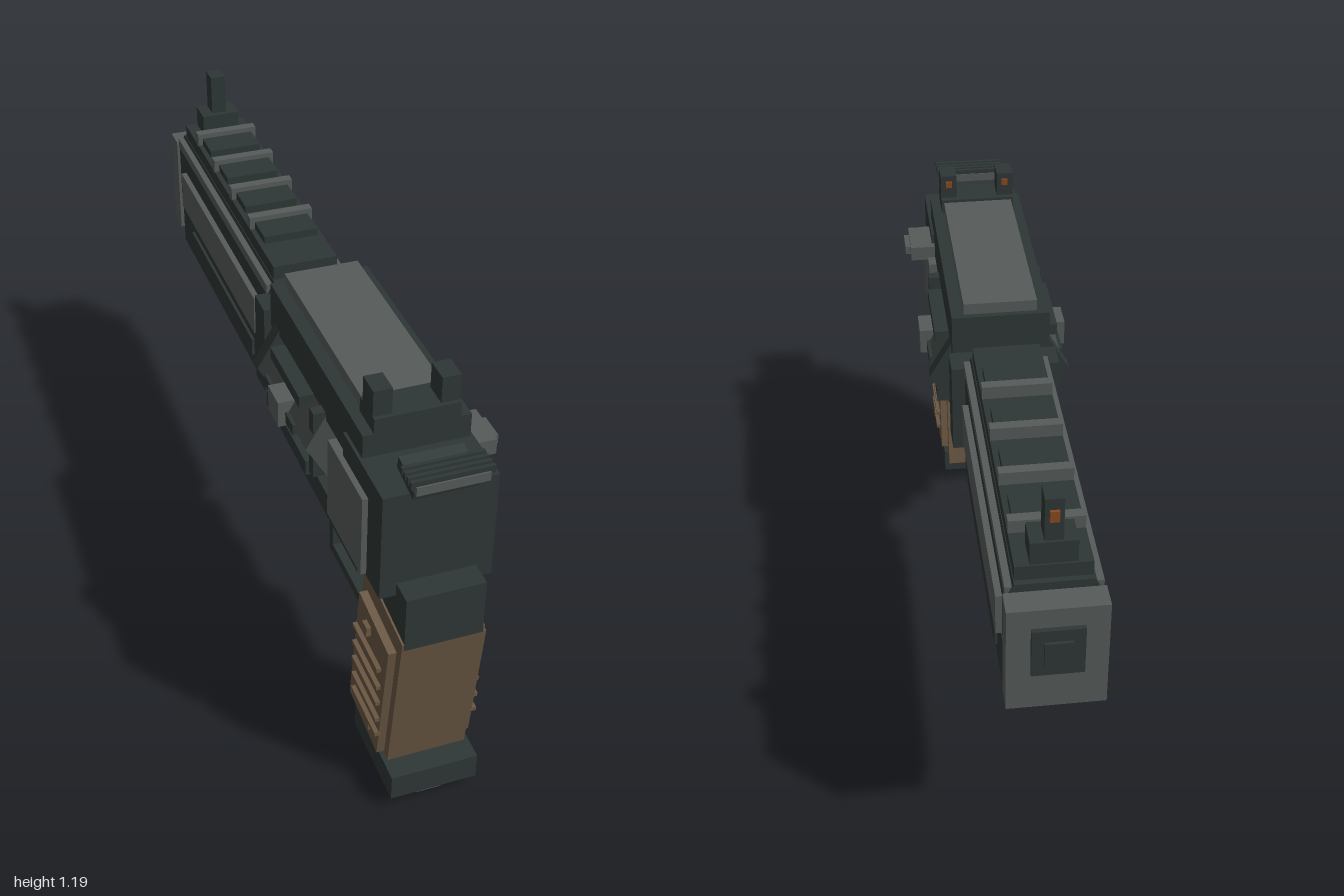
import * as THREE from 'three';

const mat = (name, color) => {
  const m = new THREE.MeshStandardMaterial({ color });
  m.name = name;
  return m;
};

export function createModel() {
  const dark = mat('dark steel', 0x2e3736);
  const grey = mat('light steel', 0x565c5a);
  const mid = mat('cylinder steel', 0x474d4b);
  const brown = mat('grip brown', 0x6a5742);
  const orange = mat('sight dot orange', 0x8a4a20);

  const model = new THREE.Group();
  model.name = 'heavyRevolver';
  const body = new THREE.Group();
  body.name = 'body';
  body.position.x = -0.006;
  model.add(body);

  const add = (name, geo, m) => {
    const mesh = new THREE.Mesh(geo, m);
    mesh.name = name;
    body.add(mesh);
    return mesh;
  };
  // box given by its ranges in x, y and z
  const span = (name, m, x0, x1, y0, y1, z0, z1) => {
    const mesh = add(name, new THREE.BoxGeometry(x1 - x0, y1 - y0, z1 - z0), m);
    mesh.position.set((x0 + x1) / 2, (y0 + y1) / 2, (z0 + z1) / 2);
    return mesh;
  };
  // box centred on x with half width w
  const box = (name, m, w, y0, y1, z0, z1) => span(name, m, -w, w, y0, y1, z0, z1);
  // the same box on both sides, from x0 out to x1
  const pair = (name, m, x0, x1, ...r) => {
    span(name + 'Left', m, x0, x1, ...r);
    span(name + 'Right', m, -x1, -x0, ...r);
  };
  // symmetric cross-section (half outline of [x, y]) swept along z
  const prism = (name, m, half, z0, z1) => {
    const pts = [...half, ...half.map(([x, y]) => [-x, y]).reverse()];
    const shape = new THREE.Shape(pts.map(([x, y]) => new THREE.Vector2(x, y)));
    const geo = new THREE.ExtrudeGeometry(shape, { depth: z1 - z0, bevelEnabled: false });
    add(name, geo, m).position.z = z0;
  };
  // hexagonal drum with its corners pointing sideways
  const hex = (name, m, r, y, z0, z1) => {
    const half = [-90, -60, 0, 60].map(a => a * Math.PI / 180)
      .map(a => [r * Math.cos(a), y + r * Math.sin(a)]).slice(1);
    prism(name, m, half, z0, z1);
  };

  // Grip
  const tilt = 0.128;
  const grip = add('grip', new THREE.BoxGeometry(0.21, 0.508, 0.254), brown);
  grip.position.set(0, 0.338, 0.838);
  grip.rotation.x = tilt;
  const panel = add('gripPanels', new THREE.BoxGeometry(0.252, 0.4, 0.2), brown);
  panel.position.set(0, 0.335, 0.84);
  panel.rotation.x = tilt;
  for (const y of [0.43, 0.37, 0.315, 0.257, 0.205]) {
    pair('gripRidge', brown, 0.12, 0.138, y - 0.006, y + 0.006, 0.755, 0.925);
  }
  pair('gripScrewUpper', brown, 0.12, 0.138, 0.475, 0.503, 0.82, 0.85);
  pair('gripScrewLower', brown, 0.12, 0.138, 0.176, 0.206, 0.85, 0.88);
  box('gripBase', dark, 0.116, 0.038, 0.113, 0.73, 0.997);
  box('gripBaseStud', grey, 0.033, 0, 0.04, 0.9, 0.97);
  box('backstrap', dark, 0.1, 0.555, 0.713, 0.767, 0.997);

  // Trigger and guard
  box('guardTop', dark, 0.113, 0.563, 0.633, 0.275, 0.713);
  box('guardFront', dark, 0.085, 0.405, 0.565, 0.432, 0.46);
  box('guardBottom', dark, 0.085, 0.403, 0.432, 0.432, 0.75);
  const trigger = box('trigger', grey, 0.025, 0.465, 0.575, 0.572, 0.612);
  trigger.rotation.x = 0.22;

  // Rear frame, side plates and side knob
  box('rearFrame', dark, 0.1415, 0.676, 0.976, 0.676, 0.933);
  box('innerFrame', dark, 0.13, 0.69, 0.95, 0.62, 0.7);
  pair('sidePlate', grey, 0.12, 0.156, 0.682, 0.91, 0.611, 0.847);
  span('sideKnob', grey, 0.13, 0.206, 0.903, 0.946, 0.655, 0.78);
  span('knobCap', grey, 0.2, 0.221, 0.912, 0.936, 0.68, 0.755);

  // Top strap with raised plate
  box('topStrap', dark, 0.134, 0.91, 1.04, 0.097, 0.783);
  box('topPlate', grey, 0.1, 1.04, 1.072, 0.113, 0.745);

  // Rear sights
  box('rearSightBase', dark, 0.107, 1.035, 1.08, 0.69, 0.783);
  pair('rearSight', dark, 0.06, 0.107, 1.075, 1.15, 0.707, 0.772);
  pair('rearSightDot', orange, 0.074, 0.092, 1.115, 1.133, 0.7, 0.708);

  // Hammer
  const hammer = box('hammer', dark, 0.079, 0.985, 1.02, 0.86, 0.96);
  hammer.rotation.x = 0.2;
  box('hammerSpur', grey, 0.088, 1.018, 1.042, 0.925, 0.995);
  for (let i = 0; i < 4; i++) {
    box('spurRidge', dark, 0.1, 1.036, 1.055, 0.927 + i * 0.018, 0.937 + i * 0.018);
  }

  // Cylinder with its flange and raised bars
  const cy = 0.832;
  hex('cylinder', mid, 0.186, cy, 0.17, 0.536);
  hex('cylinderFlange', dark, 0.196, cy, 0.132, 0.17);
  pair('cylinderBarUpper', dark, 0.125, 0.173, 0.892, 0.925, 0.215, 0.445);
  pair('cylinderBarMiddle', dark, 0.155, 0.19, 0.81, 0.842, 0.215, 0.445);
  pair('cylinderBarLower', dark, 0.125, 0.173, 0.718, 0.76, 0.175, 0.495);
  pair('cylinderBarRear', dark, 0.125, 0.165, 0.735, 0.93, 0.5, 0.53);
  pair('cylinderLatch', grey, 0.16, 0.209, 0.8, 0.874, 0.305, 0.387);

  // Barrel and lower shroud
  box('barrelCollar', dark, 0.146, 0.682, 0.944, -0.006, 0.075);
  prism('barrel', dark, [[0.11, 0.755], [0.11, 0.94], [0.092, 0.976]], -0.915, 0);
  pair('barrelEdgeStrip', grey, 0.095, 0.113, 0.94, 0.968, -0.912, -0.006);
  pair('barrelPanel', grey, 0.1, 0.126, 0.767, 0.882, -0.845, -0.085);
  prism('lowerShroud', dark, [[0.08, 0.59], [0.112, 0.618], [0.112, 0.762]], -0.895, 0);
  pair('shroudPanel', dark, 0.1, 0.12, 0.66, 0.713, -0.77, -0.135);

  // Top rail
  box('rail', dark, 0.09, 0.97, 1.015, -0.9, -0.015);
  for (let i = 0; i < 4; i++) {
    const z = -0.225 - i * 0.177;
    box('railBlock', dark, 0.076, 1.01, 1.036, z, z + 0.087);
    box('railBar', grey, 0.09, 1.01, 1.05, z - 0.027, z);
  }

  // Front sight
  box('frontSightBase', dark, 0.055, 1.01, 1.075, -0.895, -0.82);
  box('frontSight', dark, 0.022, 1.07, 1.19, -0.888, -0.836);
  box('frontSightDot', orange, 0.011, 1.13, 1.16, -0.895, -0.887);

  // Muzzle block with square bore
  box('muzzle', grey, 0.118, 0.654, 0.954, -0.98, -0.915);
  box('muzzlePlate', dark, 0.062, 0.765, 0.9, -0.992, -0.975);
  box('bore', dark, 0.033, 0.798, 0.867, -1, -0.985);

  return model;
}
